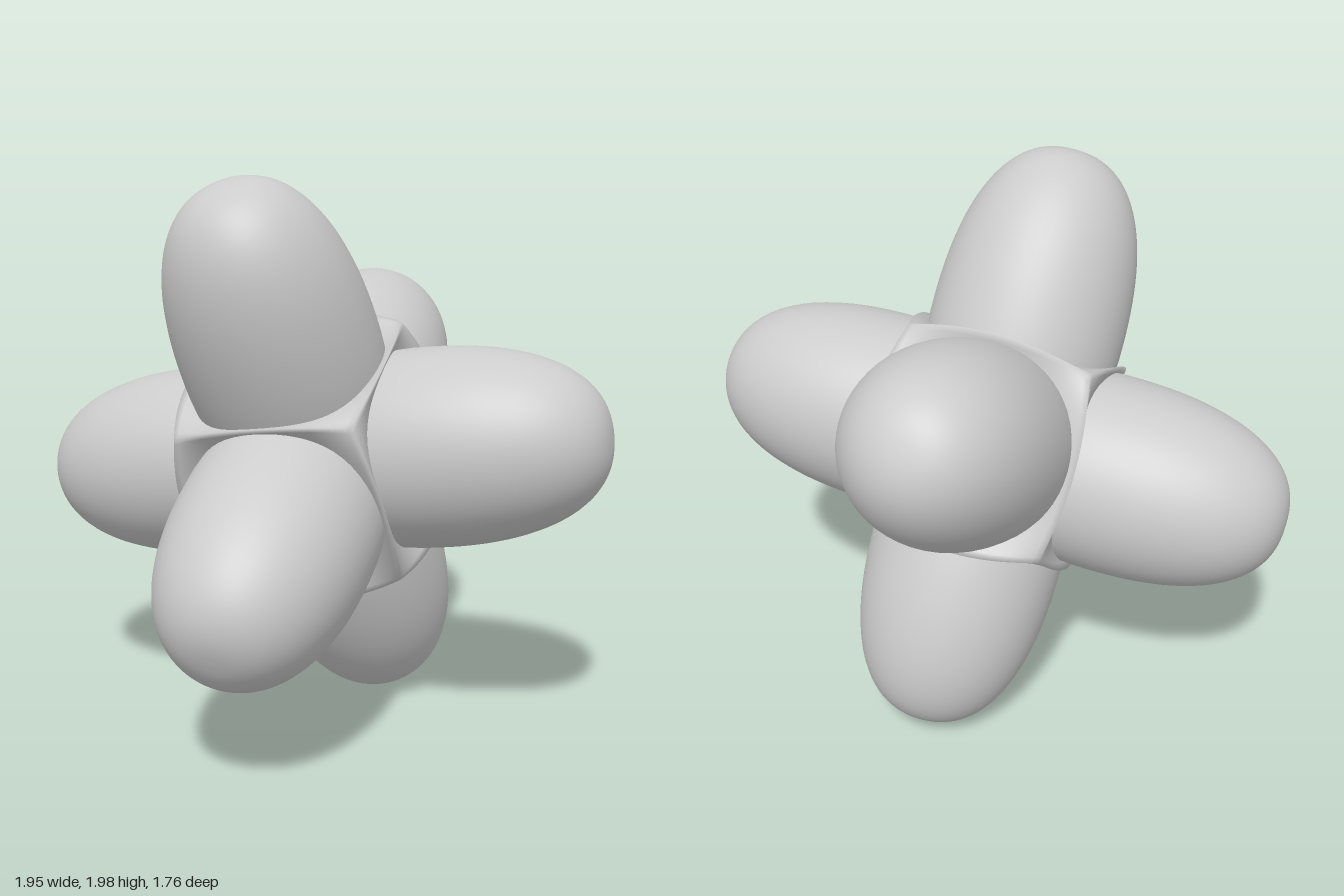
import * as THREE from 'three';
import { mergeVertices } from 'three/addons/utils/BufferGeometryUtils.js';

const EDGE = 0.38;    // half width at the middle of a cube edge
const PULL = 0.05;    // how far the corners draw in
const DIP = 0.1;      // hollow of each face around its arm

// Cube with slightly rounded-in corners and hollowed faces
function bodyGeometry() {
  let geo = new THREE.BoxGeometry(2, 2, 2, 32, 32, 32);
  geo.deleteAttribute('normal');
  geo.deleteAttribute('uv');
  geo = mergeVertices(geo, 1e-4);
  const pos = geo.attributes.position;
  for (let i = 0; i < pos.count; i++) {
    const p = [pos.getX(i), pos.getY(i), pos.getZ(i)];
    const q = p.map((c, k) => {
      const a = p[(k + 1) % 3] ** 2, b = p[(k + 2) % 3] ** 2;
      const onFace = Math.abs(c) > 0.9999;
      // in-plane coordinates follow the bowed edges, face heights also dip
      const size = EDGE - PULL * a * b - (onFace ? DIP * (1 - a) * (1 - b) : 0);
      return c * size;
    });
    pos.setXYZ(i, ...q);
  }
  geo.computeVertexNormals();
  return geo;
}

// Round arm along +y: straight root running into a long domed end
function armGeometry() {
  const radius = 0.355, start = 0.4, length = 0.68, power = 2.4;
  const profile = [new THREE.Vector2(radius - 0.01, 0.25), new THREE.Vector2(radius - 0.003, 0.34)];
  const steps = 32;
  for (let i = 0; i <= steps; i++) {
    const a = (i / steps) * Math.PI / 2;
    const r = i === steps ? 0 : radius * Math.cos(a) ** (2 / power);
    profile.push(new THREE.Vector2(r, start + length * Math.sin(a) ** (2 / power)));
  }
  return new THREE.LatheGeometry(profile, 56);
}

export function createModel() {
  const material = new THREE.MeshStandardMaterial({ color: 0xcccccc });
  const group = new THREE.Group();
  group.name = 'sixArmedCube';

  // Tilted frame of the whole form
  const up = new THREE.Vector3(0.132, 0.884, 0.449).normalize();
  const side = up.clone().cross(new THREE.Vector3(0.497, -0.43, 0.753)).normalize();
  const front = side.clone().cross(up);
  const tilted = new THREE.Group();
  tilted.name = 'tiltedForm';
  tilted.quaternion.setFromRotationMatrix(new THREE.Matrix4().makeBasis(side, up, front));
  tilted.position.y = 1;
  group.add(tilted);

  const body = new THREE.Mesh(bodyGeometry(), material);
  body.name = 'cubeBody';
  tilted.add(body);

  // One arm on each face
  const arm = armGeometry();
  const directions = {
    upperArm: [0, 1, 0], lowerArm: [0, -1, 0],
    leftArm: [1, 0, 0], rightArm: [-1, 0, 0],
    frontArm: [0, 0, 1], backArm: [0, 0, -1],
  };
  for (const [name, dir] of Object.entries(directions)) {
    const mesh = new THREE.Mesh(arm, material);
    mesh.name = name;
    mesh.quaternion.setFromUnitVectors(new THREE.Vector3(0, 1, 0), new THREE.Vector3(...dir));
    tilted.add(mesh);
  }
  return group;
}
